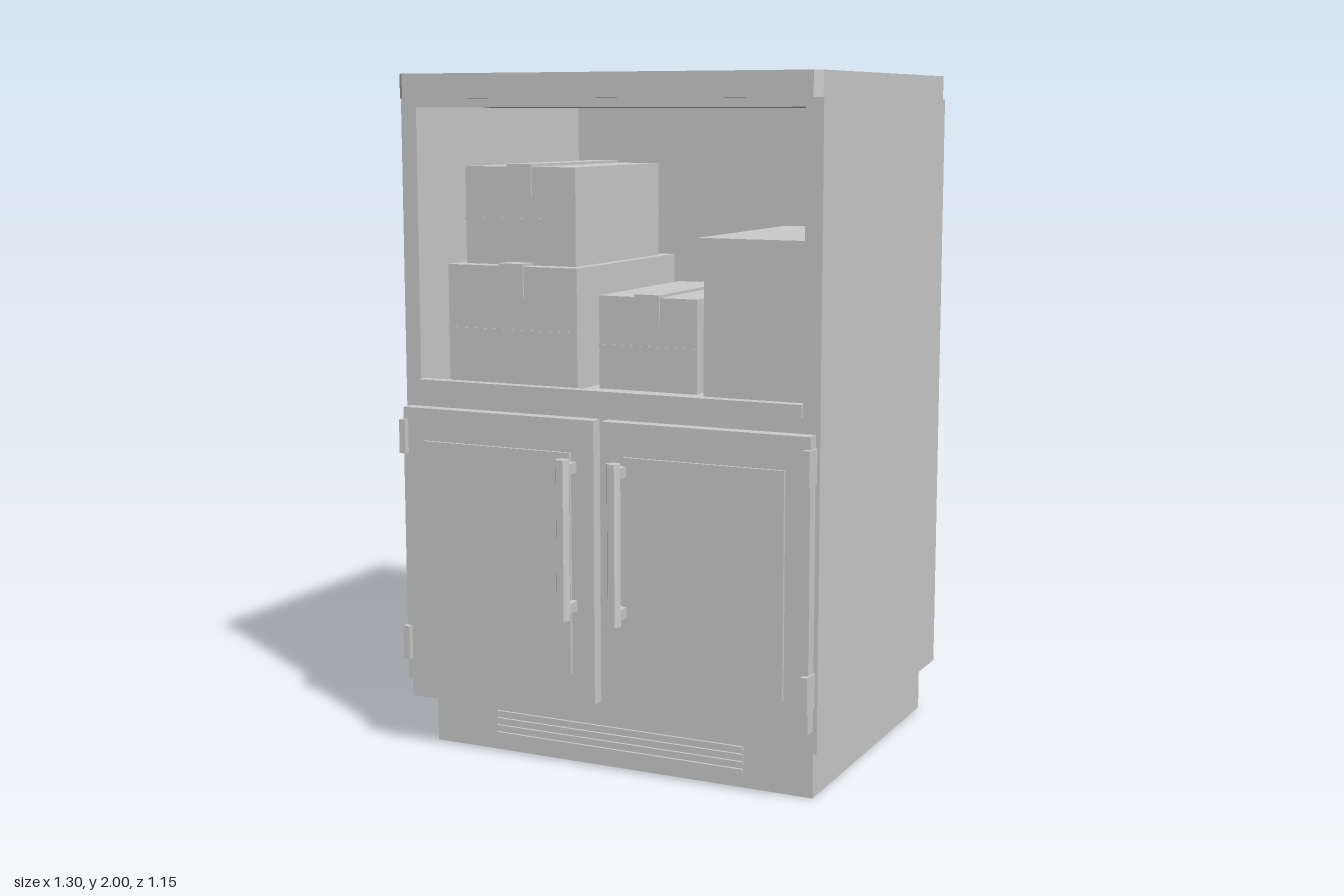
import * as THREE from 'three';

const material = new THREE.MeshStandardMaterial({ color: 0xcccccc, flatShading: true });

function add(parent, name, geometry) {
  const mesh = new THREE.Mesh(geometry, material);
  mesh.name = name;
  parent.add(mesh);
  return mesh;
}

// Box given by its minimum and maximum on each axis
function block(parent, name, [x0, x1], [y0, y1], [z0, z1]) {
  const mesh = add(parent, name, new THREE.BoxGeometry(x1 - x0, y1 - y0, z1 - z0));
  mesh.position.set((x0 + x1) / 2, (y0 + y1) / 2, (z0 + z1) / 2);
  return mesh;
}

function part(parent, name) {
  const group = new THREE.Group();
  group.name = name;
  parent.add(group);
  return group;
}

const polygon = (points) => points.map(([x, y]) => new THREE.Vector2(x, y));

// Carton with tape over the lid and a seam around its sides
function addCarton(parent, name, [x0, x1], [y0, y1], [z0, z1]) {
  const carton = part(parent, name);
  const mid = (x0 + x1) / 2;
  const seam = y0 + (y1 - y0) * 0.45;
  block(carton, 'cartonBody', [x0, x1], [y0, y1], [z0, z1]);
  block(carton, 'topTape', [mid - 0.04, mid + 0.04], [y1 - 0.002, y1 + 0.008], [z0, z1 + 0.006]);
  block(carton, 'frontTape', [mid - 0.04, mid + 0.04], [y1 - 0.09, y1 + 0.008], [z1, z1 + 0.006]);
  block(carton, 'seam', [x0 - 0.002, x1 + 0.002], [seam, seam + 0.008], [z0, z1 + 0.003]);
}

// Door with raised panel, outer hinges and an upright bar handle; side is -1 or 1
function addDoor(parent, side) {
  const door = part(parent, side < 0 ? 'rightDoor' : 'leftDoor');
  const span = (a, b) => (side < 0 ? [-b, -a] : [a, b]);
  block(door, 'doorSlab', span(0.012, 0.638), [0.22, 1.04], [0.455, 0.5]);
  block(door, 'raisedPanel', span(0.083, 0.567), [0.305, 0.945], [0.49, 0.51]);
  for (const y of [0.285, 0.905]) block(door, 'hinge', span(0.622, 0.642), [y, y + 0.1], [0.46, 0.518]);

  const handle = part(door, 'handle');
  const bar = add(handle, 'handleBar', new THREE.CylinderGeometry(0.021, 0.021, 0.46, 6));
  bar.rotation.y = Math.PI / 6;
  bar.position.set(side * 0.08, 0.705, 0.557);
  for (const y of [0.505, 0.905]) {
    block(handle, 'handlePost', span(0.065, 0.095), [y - 0.015, y + 0.015], [0.495, 0.55]);
  }
}

export function createModel() {
  const model = new THREE.Group();
  model.name = 'cabinet';

  // Recessed plinth with vent slats
  block(model, 'plinth', [-0.61, 0.61], [0, 0.16], [-0.55, 0.385]);
  for (let i = 0; i < 4; i++) {
    const y = 0.045 + i * 0.022;
    block(model, 'ventSlat', [-0.4, 0.4], [y, y + 0.01], [0.38, 0.393]);
  }

  // Carcass with the open compartment cut through, closed by a back panel
  const front = new THREE.Shape(polygon([[-0.65, 0.155], [0.65, 0.155], [0.65, 1.93], [-0.65, 1.93]]));
  front.holes.push(new THREE.Path(polygon([[-0.6, 1.1], [-0.6, 1.905], [0.6, 1.905], [0.6, 1.1]])));
  const carcass = add(model, 'carcass', new THREE.ExtrudeGeometry(front, { depth: 1.035, bevelEnabled: false }));
  carcass.position.z = -0.575;
  block(model, 'backPanel', [-0.61, 0.61], [1.09, 1.91], [-0.574, -0.53]);
  block(model, 'shelfLip', [-0.6, 0.6], [1.085, 1.12], [0.44, 0.473]);

  // Top slab with clipped corners
  const c = 0.02;
  const outline = new THREE.Shape(polygon([
    [-0.65 + c, -0.485], [0.65 - c, -0.485], [0.65, -0.485 + c], [0.65, 0.575 - c],
    [0.65 - c, 0.575], [-0.65 + c, 0.575], [-0.65, 0.575 - c], [-0.65, -0.485 + c],
  ]));
  const slab = add(model, 'topSlab', new THREE.ExtrudeGeometry(outline, { depth: 0.07, bevelEnabled: false }));
  slab.rotation.x = -Math.PI / 2;
  slab.position.y = 1.93;

  for (const side of [-1, 1]) addDoor(model, side);

  // Stored goods on the shelf
  addCarton(model, 'largeCarton', [-0.565, -0.138], [1.1, 1.45], [-0.3, 0.355]);
  addCarton(model, 'stackedCarton', [-0.535, -0.17], [1.45, 1.735], [-0.25, 0.3]);
  addCarton(model, 'smallCarton', [-0.1, 0.21], [1.1, 1.37], [-0.25, 0.29]);
  const bin = part(model, 'storageBin');
  block(bin, 'binBody', [0.265, 0.57], [1.1, 1.51], [-0.25, 0.365]);
  block(bin, 'binLid', [0.252, 0.58], [1.5, 1.55], [-0.265, 0.38]);

  return model;
}
